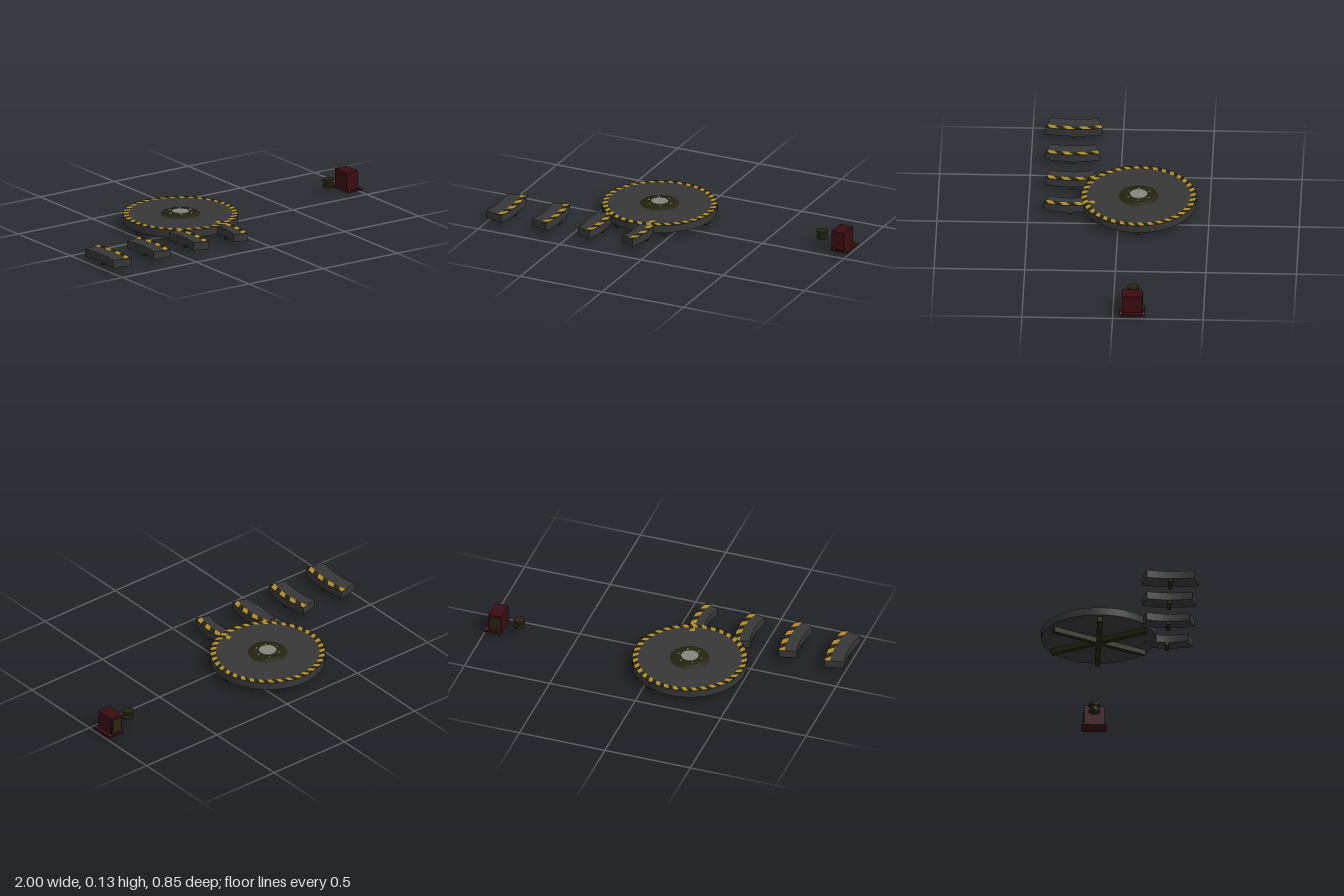
import * as THREE from 'three';
import { mergeGeometries } from 'three/addons/utils/BufferGeometryUtils.js';

const mat = (name, color) => Object.assign(new THREE.MeshStandardMaterial({ color }), { name });

export function createModel() {
  const M = {
    grey: mat('deckGrey', 0x373738),
    yellow: mat('warningYellow', 0xae8a2a),
    dark: mat('darkSteel', 0x25240f),
    red: mat('maroonPaint', 0x390d11),
    light: mat('paleMetal', 0x85857c),
  };
  const root = new THREE.Group();
  const add = (parent, name, geo, material, x = 0, y = 0, z = 0) => {
    const mesh = new THREE.Mesh(geo, material);
    mesh.name = name;
    mesh.position.set(x, y, z);
    parent.add(mesh);
    return mesh;
  };
  const box = (w, h, d) => new THREE.BoxGeometry(w, h, d);
  const cyl = (r1, r2, h, n = 24) => new THREE.CylinderGeometry(r1, r2, h, n);
  const bottom = 0.029, top = 0.073;

  // flat arc sector lying in the xz plane, with extruded thickness
  const arcShape = (r0, r1, a0, a1) => {
    const s = new THREE.Shape();
    s.absarc(0, 0, r1, a0, a1, false);
    s.absarc(0, 0, r0, a1, a0, true);
    return s;
  };
  const slab = (shape, depth) =>
    new THREE.ExtrudeGeometry(shape, { depth, bevelEnabled: false, curveSegments: 12 }).rotateX(-Math.PI / 2);

  // alternating slanted hazard stripes between two angles
  const hazard = (parent, r0, r1, a0, a1, count, y) => {
    const step = (a1 - a0) / count, closed = a1 - a0 > 6;
    const clamp = a => (closed ? a : Math.min(a1, Math.max(a0, a)));
    const sets = [[], []];
    for (let i = closed ? 0 : -1; i < count; i++) {
      const p = [];
      for (const [r, t] of [[r0, 0], [r1, 0.6], [r1, 1.6], [r0, 1]]) {
        const a = clamp(a0 + (i + t) * step);
        p.push(new THREE.Vector2(r * Math.cos(a), r * Math.sin(a)));
      }
      sets[Math.abs(i % 2)].push(new THREE.ShapeGeometry(new THREE.Shape(p)).rotateX(-Math.PI / 2));
    }
    add(parent, 'yellowStripes', mergeGeometries(sets[0]), M.yellow, 0, y);
    add(parent, 'darkStripes', mergeGeometries(sets[1]), M.dark, 0, y);
  };

  // round turntable
  const table = new THREE.Group();
  table.name = 'turntable';
  table.position.set(-0.181, 0, -0.108);
  root.add(table);
  add(table, 'deck', cyl(0.318, 0.318, top - bottom, 72), M.grey, 0, (top + bottom) / 2 + 0.0004);
  hazard(table, 0.286, 0.317, 0, Math.PI * 2, 72, top + 0.0016);

  // three crossed beams under the deck
  for (let i = 0; i < 3; i++) {
    add(table, 'supportBeam', box(0.59, 0.03, 0.028), M.dark, 0, 0.015).rotation.y = i * Math.PI / 3;
  }

  // hub with centre cap and six bolts
  add(table, 'hub', cyl(0.086, 0.112, 0.011, 16), M.dark, 0, top + 0.0055);
  add(table, 'centreCap', cyl(0.049, 0.05, 0.006, 24), M.light, 0, 0.085);
  for (let i = 0; i < 6; i++) {
    const a = i * Math.PI / 3;
    add(table, 'hubBolt', cyl(0.007, 0.01, 0.007, 6), M.light,
      0.066 * Math.cos(a), 0.0865, 0.066 * Math.sin(a));
  }

  // four curved platform segments of growing radius: right edge, inner and outer radius, half angle
  const segments = [
    [-0.068, 0.319, 0.4, 21],
    [-0.335, 0.4, 0.49, 17.2],
    [-0.602, 0.49, 0.59, 14.8],
    [-0.872, 0.59, 0.7, 13],
  ];
  for (const [edge, r0, r1, deg] of segments) {
    const a = THREE.MathUtils.degToRad(deg);
    const seg = new THREE.Group();
    seg.name = 'curvedSegment';
    seg.position.set(edge - r1, 0, 0.27);
    root.add(seg);
    add(seg, 'segmentDeck', slab(arcShape(r0, r1, -a, a), top - bottom), M.grey, 0, bottom);
    hazard(seg, r1 - 0.032, r1 - 0.001, -a, a, 7, top + 0.001);
    add(seg, 'segmentSupport', box(r1 - r0 - 0.008, 0.018, 0.02), M.dark, (r0 + r1) / 2, 0.021);
  }

  // grooved roller
  const p = [[0, 0.05], [0.032, 0.05], [0.032, 0.062], [0.022, 0.066], [0.022, 0.08],
    [0.032, 0.084], [0.032, 0.096], [0, 0.096]].map(q => new THREE.Vector2(...q));
  const roller = new THREE.LatheGeometry(p, 24).toNonIndexed();
  roller.computeVertexNormals();
  add(root, 'roller', roller, M.dark, 0.816, 0, -0.108);

  // control box on a screwed base plate
  const cab = new THREE.Group();
  cab.name = 'controlBox';
  cab.position.set(0.95, 0, -0.107);
  root.add(cab);
  add(cab, 'basePlate', box(0.1, 0.011, 0.138), M.red, 0, 0.0205);
  add(cab, 'housing', box(0.077, 0.102, 0.113), M.red, -0.0115, 0.077);
  add(cab, 'backPanel', box(0.058, 0.08, 0.004), M.dark, -0.0115, 0.077, -0.057);
  for (const x of [-0.036, 0.04]) for (const z of [-0.062, 0.062]) {
    add(cab, 'plateScrew', cyl(0.004, 0.004, 0.004, 8), M.light, x, 0.028, z);
  }
  return root;
}
